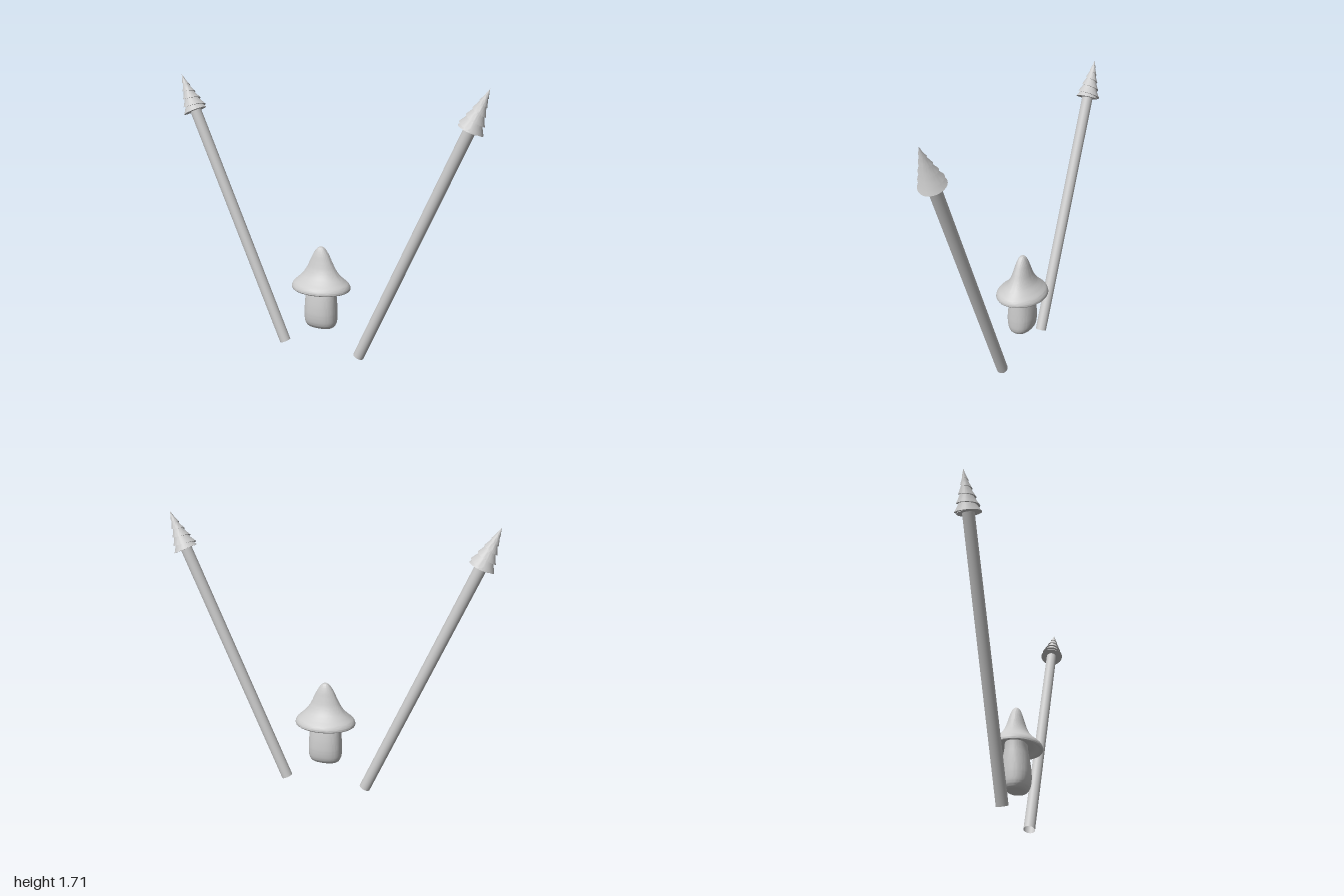
import * as THREE from 'three';
import { toCreasedNormals } from 'three/addons/utils/BufferGeometryUtils.js';

const material = new THREE.MeshStandardMaterial({ color: 0xcccccc, side: THREE.DoubleSide });

// Closed skin of rings stacked upward; point(row, angle) returns [x, y, z]
function skin(rows, columns, crease, point) {
  const positions = [], index = [];
  for (let i = 0; i < rows; i++) {
    for (let j = 0; j <= columns; j++) {
      positions.push(...point(i, -Math.PI + (j / columns) * Math.PI * 2));
      if (i === rows - 1 || j === columns) continue;
      const a = i * (columns + 1) + j, c = a + columns + 1;
      index.push(a, c, a + 1, a + 1, c, c + 1);
    }
  }
  const geometry = new THREE.BufferGeometry();
  geometry.setAttribute('position', new THREE.Float32BufferAttribute(positions, 3));
  geometry.setIndex(index);
  return toCreasedNormals(geometry, crease);
}

// Rings with separate half widths in x and z: [halfX, y, halfZ]
function loft(name, profile, power, crease) {
  const curve = new THREE.CatmullRomCurve3(profile.map((p) => new THREE.Vector3(...p)), false, 'centripetal');
  const rings = curve.getPoints((profile.length - 1) * 6);
  const bulge = (v) => Math.sign(v) * Math.abs(v) ** (2 / power);
  const geometry = skin(rings.length, 64, crease, (i, a) => {
    const r = rings[i];
    return [Math.max(r.x, 0) * bulge(Math.cos(a)), r.y, Math.max(r.z, 0) * bulge(Math.sin(a))];
  });
  const mesh = new THREE.Mesh(geometry, material);
  mesh.name = name;
  return mesh;
}

// Cone wound with overlapping spiral layers, each flaring out at its lower lip
function spiralTip(radius, height, turns) {
  const steps = [];
  for (let k = -1; k <= turns; k++) for (const f of [0, 0.33, 0.67, 1]) steps.push([k, f]);
  const flare = (f) => 1.1 - 0.23 * f;
  const geometry = skin(steps.length + 1, 48, 0.5, (i, a) => {
    if (i === 0) return [0, 0, 0];
    const [k, f] = steps[i - 1];
    const turn = a / (Math.PI * 2);
    const t = k + f + turn;
    const level = THREE.MathUtils.clamp(t / turns, 0, 1);
    const phase = t < 0 ? THREE.MathUtils.euclideanModulo(-turn, 1) : f;
    const r = radius * (1 - level) * flare(phase);
    return [r * Math.cos(a), level * height, r * Math.sin(a)];
  });
  const mesh = new THREE.Mesh(geometry, material);
  mesh.name = 'spiralTip';
  return mesh;
}

// Leaning pole with an open foot and a spiral tip
function spear(name) {
  const length = 1.6;
  const group = new THREE.Group();
  group.name = name;
  const pole = new THREE.Mesh(new THREE.CylinderGeometry(0.035, 0.035, length, 32, 1, true), material);
  pole.name = 'pole';
  pole.position.y = length / 2;
  const tip = spiralTip(0.073, 0.246, 5);
  tip.position.y = length;
  group.add(pole, tip);
  group.position.set(0.263, 0.014, 0);
  group.rotation.z = -0.411;
  return group;
}

export function createModel() {
  const model = new THREE.Group();

  // Mushroom in the middle
  const mushroom = new THREE.Group();
  mushroom.name = 'mushroom';
  mushroom.add(
    loft('stem', [
      [0, 0.166, 0], [0.06, 0.167, 0.035], [0.088, 0.175, 0.058], [0.102, 0.2, 0.076],
      [0.106, 0.25, 0.085], [0.104, 0.31, 0.083], [0.1, 0.37, 0.075], [0.096, 0.42, 0.066], [0.094, 0.47, 0.062],
    ], 2.3, 1),
    loft('cap', [
      [0, 0.46, 0], [0.09, 0.458, 0.06], [0.14, 0.448, 0.105], [0.17, 0.427, 0.138], [0.187, 0.424, 0.153],
      [0.191, 0.432, 0.157], [0.183, 0.455, 0.148], [0.155, 0.482, 0.118], [0.122, 0.515, 0.086],
      [0.095, 0.555, 0.064], [0.071, 0.605, 0.048], [0.049, 0.65, 0.035], [0.027, 0.682, 0.021],
      [0.012, 0.693, 0.01], [0, 0.696, 0],
    ], 2, 1),
  );
  model.add(mushroom);

  // Two spears, the second turned half round the centre
  model.add(spear('leftSpear'));
  const turned = new THREE.Group();
  turned.name = 'rightSide';
  turned.rotation.y = Math.PI;
  turned.add(spear('rightSpear'));
  model.add(turned);
  return model;
}
